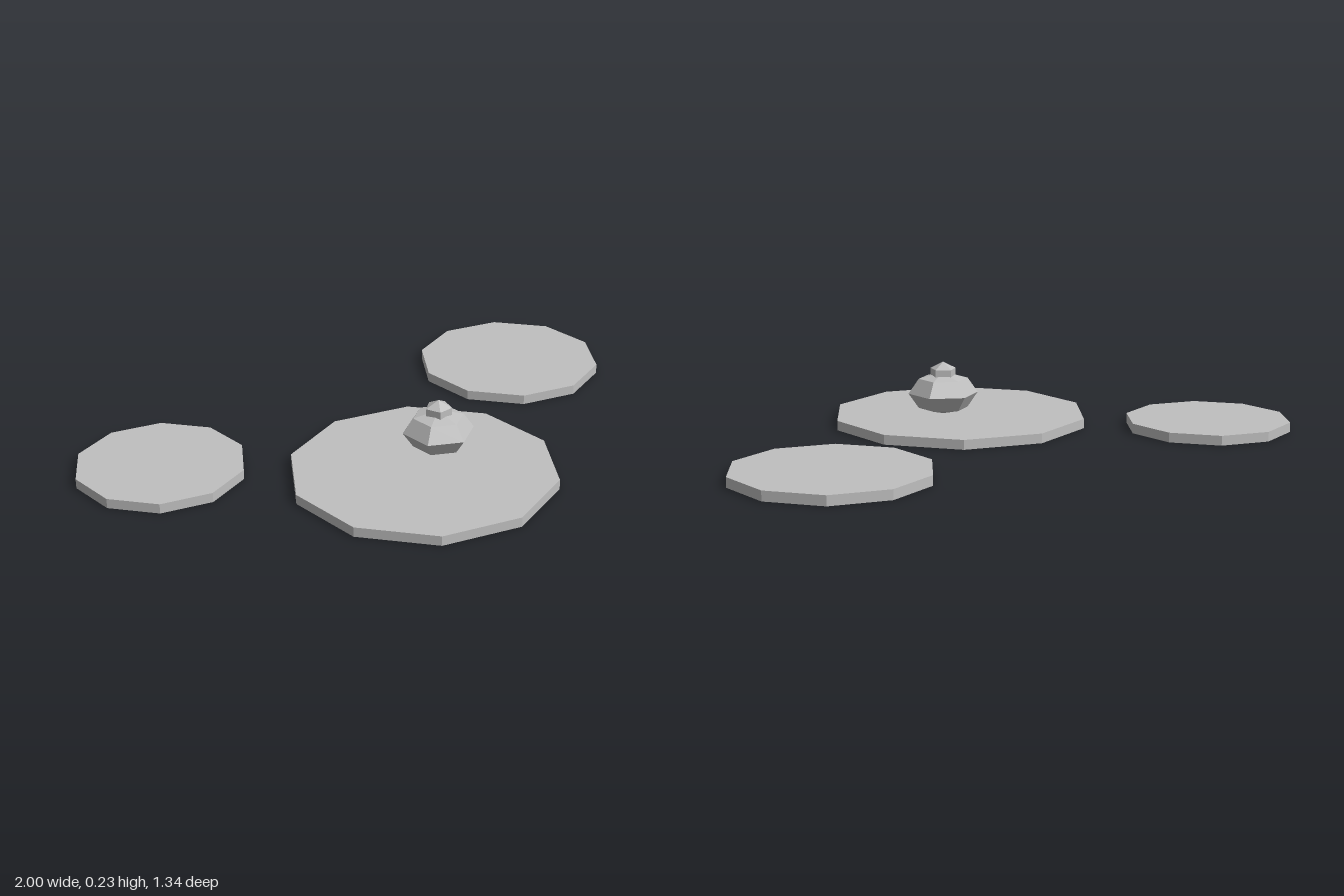
import * as THREE from 'three';

const PAD_HEIGHT = 0.033;

export function createModel() {
  const model = new THREE.Group();
  model.name = 'lilyPads';
  const grey = new THREE.MeshStandardMaterial({ color: 0xbfbfbf, flatShading: true });
  grey.name = 'plain grey';

  const add = (name, geometry, x, y, z, parent = model) => {
    const mesh = new THREE.Mesh(geometry, grey);
    mesh.name = name;
    mesh.position.set(x, y, z);
    parent.add(mesh);
  };

  // Ten-sided floating pads: name, radius, x, z
  const pads = [
    ['largePad', 0.445, -0.122, 0.222],
    ['rightBackPad', 0.283, -0.731, -0.387],
    ['leftPad', 0.325, 0.69, -0.186],
  ];
  for (const [name, r, x, z] of pads) {
    add(name, new THREE.CylinderGeometry(r, r, PAD_HEIGHT, 10), x, PAD_HEIGHT / 2, z);
  }

  // Faceted squashed ball, one corner turned to the back
  const ball = (r, ry, sides, rings) =>
    new THREE.SphereGeometry(r, sides, rings).rotateY(-Math.PI / 2).scale(1, ry / r, 1);

  // Flower resting above the large pad
  const flower = new THREE.Group();
  flower.name = 'flower';
  flower.position.set(-0.021, 0, 0.184);
  add('blossom', ball(0.12, 0.072, 6, 4), 0, 0.119, 0, flower);
  add('bud', ball(0.052, 0.048, 5, 3), 0, 0.18, 0, flower);
  model.add(flower);

  return model;
}
